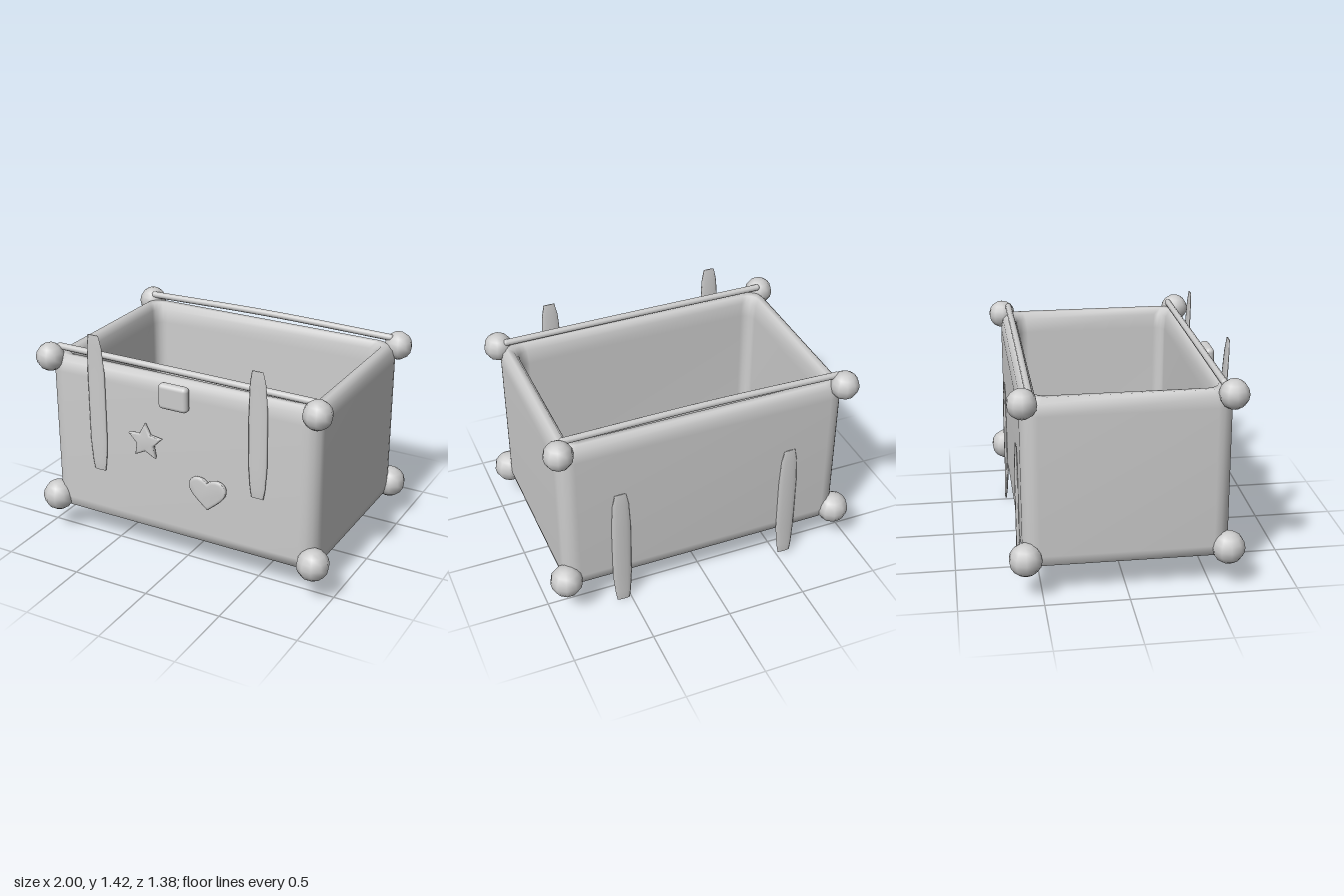
import * as THREE from 'three';
import { toCreasedNormals } from 'three/addons/utils/BufferGeometryUtils.js';
import { RoundedBoxGeometry } from 'three/addons/geometries/RoundedBoxGeometry.js';

// Skin over closed rings of equal length, listed from the underside upwards
function loft(rings) {
  const n = rings[0].length;
  const index = [];
  for (let j = 0; j < rings.length - 1; j++) {
    for (let i = 0; i < n; i++) {
      const a = j * n + i, b = j * n + (i + 1) % n;
      index.push(a, a + n, b, b, a + n, b + n);
    }
  }
  const g = new THREE.BufferGeometry();
  g.setAttribute('position', new THREE.Float32BufferAttribute(rings.flat(2), 3));
  g.setIndex(index);
  g.computeVertexNormals();
  return g;
}

// Horizontal rounded rectangle
function rectRing(hx, hz, r, y) {
  const ring = [];
  [[1, 1], [-1, 1], [-1, -1], [1, -1]].forEach(([sx, sz], c) => {
    for (let k = 0; k <= 4; k++) {
      const t = (c + k / 4) * Math.PI / 2;
      ring.push([sx * (hx - r) + r * Math.cos(t), y, sz * (hz - r) + r * Math.sin(t)]);
    }
  });
  return ring;
}

// Horizontal ellipse
function ellipseRing(rx, rz, y, z) {
  return Array.from({ length: 12 }, (_, i) => {
    const t = i / 12 * Math.PI * 2;
    return [rx * Math.cos(t), y, z + rz * Math.sin(t)];
  });
}

// Flat strap with narrowed ends; lean moves its outer tip away from the box
function strapGeometry(y0, y1, bottomLean, topLean) {
  const profile = [
    [0, 0, y0, bottomLean], [0.04, 0.005, y0, bottomLean], [0.05, 0.009, y0 + 0.06, bottomLean * 0.6],
    [0.061, 0.013, y0 + 0.2, 0], [0.061, 0.013, y1 - 0.25, 0],
    [0.052, 0.009, y1 - 0.08, topLean * 0.6], [0.036, 0.004, y1, topLean], [0, 0, y1, topLean],
  ];
  return loft(profile.map(p => ellipseRing(...p)));
}

// Puffed badge cut from a flat outline
function badgeGeometry(shape, bevel) {
  const g = new THREE.ExtrudeGeometry(shape, {
    depth: 0.008, bevelEnabled: true, bevelThickness: 0.011, bevelSize: bevel,
    bevelOffset: -bevel, bevelSegments: 3, curveSegments: 10,
  });
  g.translate(0, 0, -0.004);
  return toCreasedNormals(g, 0.9);
}

export function createModel() {
  const group = new THREE.Group();
  const grey = new THREE.MeshStandardMaterial({ color: 0xcccccc });
  grey.name = 'light grey';
  const add = (name, geometry, x = 0, y = 0, z = 0) => {
    const mesh = new THREE.Mesh(geometry, grey);
    mesh.name = name;
    mesh.position.set(x, y, z);
    group.add(mesh);
    return mesh;
  };

  // Open box: inset, height and corner radius, up the outside and down the inside
  const wall = [
    [0.14, 0.18, 0.06], [0.06, 0.185, 0.08], [0.015, 0.205, 0.09], [0, 0.27, 0.1],
    [0, 1.13, 0.1], [0.012, 1.2, 0.1], [0.04, 1.232, 0.09], [0.075, 1.23, 0.08],
    [0.1, 1.19, 0.07], [0.108, 1.1, 0.07], [0.115, 0.4, 0.07], [0.13, 0.31, 0.07], [0.2, 0.28, 0.05],
  ];
  add('box', loft([
    rectRing(0, 0, 0, 0.18),
    ...wall.map(([inset, y, r]) => rectRing(0.91 - inset, 0.61 - inset, r, y)),
    rectRing(0, 0, 0, 0.28),
  ]));

  // Corner knobs
  for (const sx of [-1, 1]) {
    for (const sz of [-1, 1]) {
      add('upperKnob', new THREE.SphereGeometry(0.089, 10, 8), sx * 0.9, 1.21, sz * 0.597);
      add('lowerKnob', new THREE.SphereGeometry(0.1, 10, 8), sx * 0.9, 0.255, sz * 0.597);
    }
  }

  // Long rods above the front and back rims
  const rod = (name, z, left, middle, right) => {
    const path = new THREE.CatmullRomCurve3([
      new THREE.Vector3(-0.86, left, z), new THREE.Vector3(0, middle, z), new THREE.Vector3(0.86, right, z),
    ]);
    add(name, new THREE.TubeGeometry(path, 16, 0.021, 10));
    for (const [x, y] of [[-0.86, left], [0.86, right]]) {
      add(name + 'End', new THREE.SphereGeometry(0.021, 10, 6), x, y, z);
    }
  };
  rod('frontRod', 0.545, 1.268, 1.265, 1.258);
  rod('backRod', -0.555, 1.265, 1.28, 1.27);

  // Straps: the front pair stands above the rim, the back pair hangs below the base
  add('frontStrap', strapGeometry(0.53, 1.425, 0, 0.015), -0.55, 0, 0.62);
  add('frontStrap', strapGeometry(0.61, 1.41, 0, 0.012), 0.545, 0, 0.62);
  add('backStrap', strapGeometry(0.02, 0.83, -0.012, 0), -0.55, 0, -0.616);
  add('backStrap', strapGeometry(0.005, 0.83, -0.012, 0), 0.55, 0, -0.616);

  // Clasp
  add('clasp', new RoundedBoxGeometry(0.195, 0.16, 0.06, 4, 0.027), 0, 1.138, 0.635);

  // Star badge
  const tips = Array.from({ length: 10 }, (_, i) => {
    const r = i % 2 ? 0.063 : 0.122;
    const t = Math.PI / 2 + i * Math.PI / 5;
    return new THREE.Vector2(r * Math.cos(t), r * Math.sin(t));
  });
  add('star', badgeGeometry(new THREE.Shape(tips), 0.018), -0.2, 0.812, 0.64);

  // Heart badge
  const heart = new THREE.Shape();
  heart.moveTo(0, -0.105);
  heart.bezierCurveTo(0.05, -0.06, 0.125, -0.01, 0.125, 0.04);
  heart.bezierCurveTo(0.125, 0.115, 0.035, 0.115, 0, 0.078);
  heart.bezierCurveTo(-0.035, 0.115, -0.125, 0.115, -0.125, 0.04);
  heart.bezierCurveTo(-0.125, -0.01, -0.05, -0.06, 0, -0.105);
  add('heart', badgeGeometry(heart, 0.018), 0.225, 0.562, 0.64);

  return group;
}
